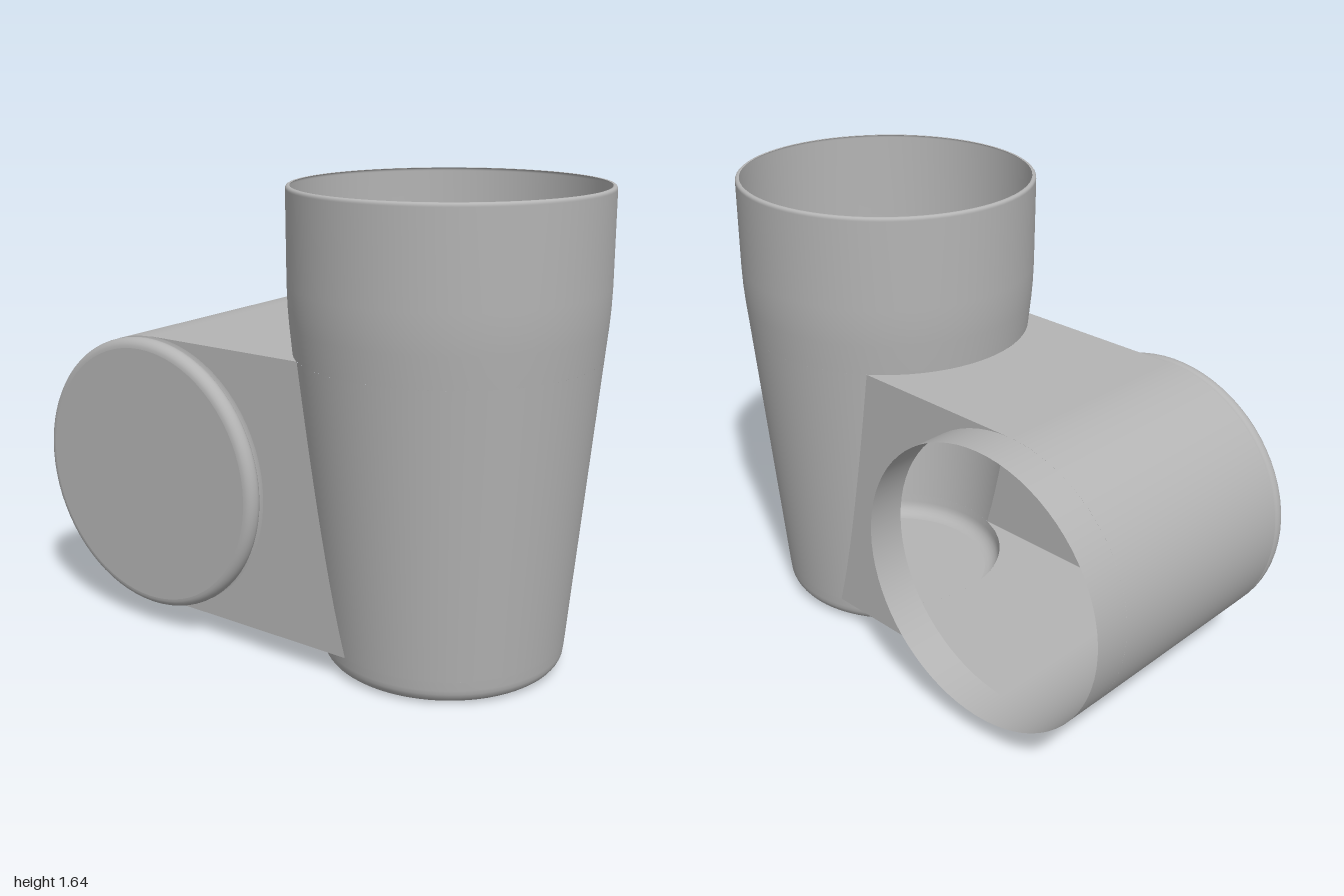
import * as THREE from 'three';

const SEG = 72;
const CUP_Z = 0.4715;                     // cup axis
const TUBE = { y: 0.59, z: -0.495, r: 0.495 };
const HALF = 0.4;                         // half width of the web
const Y0 = TUBE.y - TUBE.r, Y1 = TUBE.y + TUBE.r;

const grey = new THREE.MeshStandardMaterial({ color: 0xb4b4b4, side: THREE.DoubleSide });
grey.name = 'plain grey';

const v = (x, y) => new THREE.Vector2(x, y);
const cupRadius = (y) => 0.418 + (y - 0.06) * 0.0908;
const holeAngle = (y) => Math.asin(HALF / cupRadius(y));
const cupEdgeZ = (x, y) => CUP_Z - Math.sqrt(cupRadius(y) ** 2 - x * x);

// quarter round from angle a to b
function round(cx, cy, r, a, b, n = 6) {
  return Array.from({ length: n + 1 }, (_, i) => {
    const t = a + (b - a) * i / n;
    return v(cx + r * Math.cos(t), cy + r * Math.sin(t));
  });
}

export function createModel() {
  const model = new THREE.Group();
  model.name = 'cupWithSideTube';
  const body = new THREE.Group();
  body.name = 'body';
  body.rotation.set(0, 0.0192, 0.0122);   // slight lean of the whole body
  model.add(body);

  const add = (name, geometry, x = 0, y = 0, z = 0) => {
    const mesh = new THREE.Mesh(geometry, grey);
    mesh.name = name;
    mesh.position.set(x, y, z);
    body.add(mesh);
  };

  // Cup: floor, rounded foot, wall with an opening at the back, collar
  add('cupFloor', new THREE.CircleGeometry(0.363, SEG).rotateX(Math.PI / 2), 0, 0.008, CUP_Z);
  const foot = [...round(0.363, 0.063, 0.055, -Math.PI / 2, 0), v(cupRadius(Y0), Y0)];
  add('cupFoot', new THREE.LatheGeometry(foot, SEG), 0, 0, CUP_Z);

  const wallPts = Array.from({ length: 13 }, (_, i) => {
    const y = Y0 + (Y1 - Y0) * i / 12;
    return v(cupRadius(y), y);
  });
  const wall = new THREE.LatheGeometry(wallPts, SEG);
  const p = wall.attributes.position, n = wall.attributes.normal;
  for (let i = 0; i < p.count; i++) {
    const y = p.getY(i), r = cupRadius(y), a = holeAngle(y);
    const t = Math.floor(i / wallPts.length) / SEG;
    const phi = Math.PI + a + t * (2 * Math.PI - 2 * a);
    p.setXYZ(i, r * Math.sin(phi), y, r * Math.cos(phi));
    n.setXYZ(i, 0.996 * Math.sin(phi), -0.0904, 0.996 * Math.cos(phi));
  }
  add('cupWall', wall, 0, 0, CUP_Z);

  const collar = [v(cupRadius(Y1), Y1), v(0.521, 1.19), v(0.525, 1.25), v(0.527, 1.32), v(0.527, 1.625),
    ...round(0.517, 1.628, 0.01, 0, Math.PI / 2, 4), v(0.513, 1.637)];
  add('cupCollar', new THREE.LatheGeometry(collar, SEG), 0, 0, CUP_Z);

  // Side tube: lathes turned to lie along x, open at +x and capped at -x
  const tubePart = (name, pts, start = 0, length = Math.PI * 2) =>
    add(name, new THREE.LatheGeometry(pts, SEG, start, length).rotateZ(-Math.PI / 2), 0, TUBE.y, TUBE.z);
  tubePart('tubeMouth', [v(TUBE.r, HALF), v(TUBE.r, 0.537)]);
  tubePart('tubeBack', [v(TUBE.r, -0.405), v(TUBE.r, HALF)], Math.PI / 2, Math.PI);
  const bead = [...round(0.462, -0.433, 0.033, -Math.PI / 2, 0),
    ...round(0.475, -0.427, 0.02, 0, Math.PI / 2, 4), v(0.482, -0.402), v(TUBE.r, -HALF)];
  tubePart('tubeBead', bead);
  add('tubeCap', new THREE.CircleGeometry(0.462, SEG).rotateY(-Math.PI / 2), -0.466, TUBE.y, TUBE.z);

  // Web plates above and below, ending on the cup curve
  for (const [name, y] of [['webTop', Y1], ['webBottom', Y0]]) {
    const pts = [v(-HALF, TUBE.z), v(HALF, TUBE.z)];
    for (let i = 0; i <= 24; i++) {
      const x = HALF - 2 * HALF * i / 24;
      pts.push(v(x, cupEdgeZ(x, y)));
    }
    add(name, new THREE.ShapeGeometry(new THREE.Shape(pts)).rotateX(Math.PI / 2), 0, y, 0);
  }

  // Web sides between the tube circle and the cup wall
  for (const [name, x] of [['webLeft', HALF], ['webRight', -HALF]]) {
    const pts = round(TUBE.z, TUBE.y, TUBE.r, Math.PI / 2, -Math.PI / 2, 36);
    for (let i = 0; i <= 12; i++) {
      const y = Y0 + (Y1 - Y0) * i / 12;
      pts.push(v(cupEdgeZ(HALF, y), y));
    }
    add(name, new THREE.ShapeGeometry(new THREE.Shape(pts)).rotateY(-Math.PI / 2), x, 0, 0);
  }

  return model;
}
